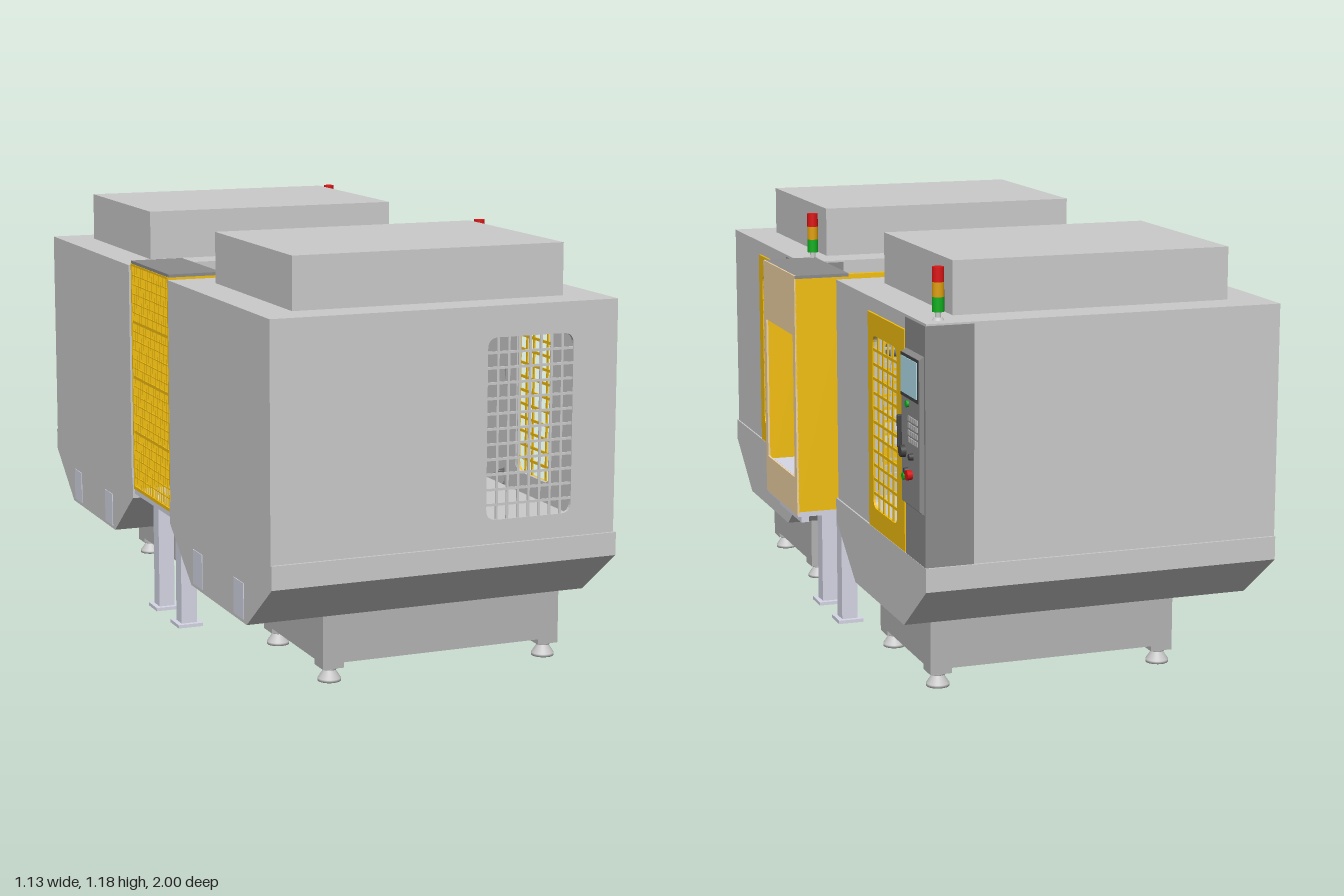
import * as THREE from 'three';
import { RoundedBoxGeometry } from 'three/addons/geometries/RoundedBoxGeometry.js';

const mat = (color) => new THREE.MeshStandardMaterial({ color, side: THREE.DoubleSide });
const grey = mat(0xcccccc), midGrey = mat(0xb4b4b4), darkGrey = mat(0x8c8c8c), black = mat(0x444444);
const yellow = mat(0xf5c010), tan = mat(0xf2d6a6), pale = mat(0xd6d8e6), blue = mat(0x1fa3c4);
const red = mat(0xdd1515), green = mat(0x12b020), amber = mat(0xe0a010), screenBlue = mat(0xb4e2f0);

function add(parent, name, geometry, material, x = 0, y = 0, z = 0) {
  const mesh = new THREE.Mesh(geometry, material);
  mesh.name = name;
  mesh.position.set(x, y, z);
  parent.add(mesh);
  return mesh;
}

// Box given by its lower and upper limits
function box(parent, name, material, x0, x1, y0, y1, z0, z1) {
  return add(parent, name, new THREE.BoxGeometry(x1 - x0, y1 - y0, z1 - z0), material,
    (x0 + x1) / 2, (y0 + y1) / 2, (z0 + z1) / 2);
}

function cylinder(parent, name, material, r0, r1, h, x, y, z, axis = 'y') {
  const mesh = add(parent, name, new THREE.CylinderGeometry(r1, r0, h, 24), material, x, y, z);
  if (axis === 'x') mesh.rotation.z = -Math.PI / 2;
  if (axis === 'z') mesh.rotation.x = Math.PI / 2;
  return mesh;
}

function roundedPath(path, [u0, u1, v0, v1], r) {
  path.moveTo(u0 + r, v0);
  path.lineTo(u1 - r, v0);
  path.quadraticCurveTo(u1, v0, u1, v0 + r);
  path.lineTo(u1, v1 - r);
  path.quadraticCurveTo(u1, v1, u1 - r, v1);
  path.lineTo(u0 + r, v1);
  path.quadraticCurveTo(u0, v1, u0, v1 - r);
  path.lineTo(u0, v0 + r);
  path.quadraticCurveTo(u0, v0, u0 + r, v0);
  return path;
}

// Upright sheet in the XY plane with an optional window hole, limits as [u0, u1, v0, v1]
function sheet(parent, name, material, limits, depth, hole, r = 0.03) {
  const [u0, u1, v0, v1] = limits;
  const shape = new THREE.Shape([[u0, v0], [u1, v0], [u1, v1], [u0, v1]].map((p) => new THREE.Vector2(...p)));
  if (hole) shape.holes.push(roundedPath(new THREE.Path(), hole, r));
  const group = new THREE.Group();
  group.name = name;
  parent.add(group);
  add(group, name + 'Plate', new THREE.ExtrudeGeometry(shape, { depth, bevelEnabled: false, curveSegments: 6 }), material);
  return group;
}

// Crossed bars filling a window
function grid(parent, material, [u0, u1, v0, v1], cols, rows, w, z) {
  for (let i = 1; i < cols; i++) {
    const u = u0 + (u1 - u0) * i / cols;
    box(parent, 'gridUpright', material, u - w / 2, u + w / 2, v0, v1, z - 0.002, z + 0.002);
  }
  for (let i = 1; i < rows; i++) {
    const v = v0 + (v1 - v0) * i / rows;
    box(parent, 'gridCrossbar', material, u0, u1, v - w / 2, v + w / 2, z - 0.002, z + 0.002);
  }
}

function controlPanel(parent) {
  box(parent, 'panelColumn', darkGrey, 0.43, 0.444, 0.395, 1.035, -0.403, -0.243);
  box(parent, 'panelSideCover', darkGrey, 0.31, 0.444, 0.395, 1.035, -0.407, -0.4);
  // Console with sloped ends
  const side = new THREE.Shape([[0.44, 0.53], [0.457, 0.545], [0.457, 0.945], [0.44, 0.957]].map((p) => new THREE.Vector2(...p)));
  add(parent, 'console', new THREE.ExtrudeGeometry(side, { depth: 0.148, bevelEnabled: false }), darkGrey, 0, 0, -0.398);
  box(parent, 'screenFrame', black, 0.455, 0.459, 0.83, 0.945, -0.393, -0.247);
  box(parent, 'screen', screenBlue, 0.457, 0.461, 0.84, 0.937, -0.385, -0.255);
  for (let i = 0; i < 5; i++) for (let j = 0; j < 4; j++) {
    const z = -0.385 + i * 0.016, y = 0.715 + j * 0.019;
    box(parent, 'key', midGrey, 0.456, 0.46, y, y + 0.013, z, z + 0.011);
  }
  cylinder(parent, 'handwheel', black, 0.017, 0.015, 0.014, 0.463, 0.682, -0.272, 'x');
  cylinder(parent, 'powerButton', green, 0.009, 0.009, 0.008, 0.46, 0.815, -0.305, 'x');
  cylinder(parent, 'startButton', green, 0.01, 0.01, 0.008, 0.46, 0.615, -0.275, 'x');
  cylinder(parent, 'stopButton', red, 0.012, 0.014, 0.016, 0.464, 0.63, -0.332, 'x');
  cylinder(parent, 'selector', black, 0.01, 0.008, 0.012, 0.462, 0.635, -0.3, 'x');
  cylinder(parent, 'selector', black, 0.01, 0.008, 0.012, 0.462, 0.68, -0.34, 'x');
}

function machine(name, z, innerOpening) {
  const g = new THREE.Group();
  g.name = name;
  g.position.z = z;

  // Base on four levelling feet
  box(g, 'base', midGrey, -0.345, 0.37, 0.055, 0.19, -0.225, 0.225);
  const foot = new THREE.LatheGeometry([[0, 0], [0.032, 0], [0.032, 0.008], [0.016, 0.032], [0.02, 0.032], [0.02, 0.04], [0, 0.04]]
    .map((p) => new THREE.Vector2(...p)), 24);
  for (const x of [-0.314, 0.339]) for (const s of [-1, 1]) {
    box(g, 'baseCorner', midGrey, x - 0.031, x + 0.031, 0.04, 0.056, s * 0.194 - 0.031, s * 0.194 + 0.031);
    add(g, 'foot', foot, grey, x, 0, s * 0.194);
  }

  // Tapered tray below the cabin
  const tray = new THREE.Shape([[-0.4125, 0.395], [-0.4125, 0.33], [-0.225, 0.19], [0.225, 0.19], [0.4125, 0.33], [0.4125, 0.395]]
    .map((p) => new THREE.Vector2(...p)));
  add(g, 'tray', new THREE.ExtrudeGeometry(tray, { depth: 1.01, bevelEnabled: false }), grey, -0.565).rotation.y = Math.PI / 2;
  for (const s of [-1, 1]) box(g, 'chipOutlet', pale, -0.567, -0.56, 0.2, 0.3, s * 0.167 - 0.038, s * 0.167 + 0.038);

  // Cabin walls and roof
  const side = [-0.565, 0.44, 0.395, 1.04], win = [0.053, 0.307, 0.46, 0.955];
  const outer = sheet(g, 'windowWall', grey, side, 0.01, win);
  outer.position.z = 0.395;
  grid(outer, grey, win, 8, 12, 0.007, 0.006);
  sheet(g, 'plainWall', grey, side, 0.01, innerOpening).position.z = -0.405;
  box(g, 'rearWall', grey, -0.565, -0.555, 0.395, 1.04, -0.4, 0.4);
  box(g, 'ceiling', grey, -0.56, 0.435, 1.03, 1.04, -0.404, 0.404);
  box(g, 'roofHousing', grey, -0.46, 0.33, 1.04, 1.185, -0.295, 0.295);

  // Door side, where sheet x runs along -z
  const doorWin = [-0.042, 0.173, 0.455, 0.94];
  const front = sheet(g, 'doorWall', grey, [-0.405, 0.405, 0.395, 1.04], 0.01, doorWin);
  front.rotation.y = Math.PI / 2;
  front.position.x = 0.43;
  const door = sheet(g, 'door', yellow, [-0.0825, 0.2375, 0.397, 1.0], 0.007, doorWin);
  door.rotation.y = Math.PI / 2;
  door.position.x = 0.439;
  grid(door, yellow, doorWin, 5, 12, 0.008, 0.003);
  add(g, 'doorHandle', new RoundedBoxGeometry(0.014, 0.09, 0.01, 2, 0.004), black, 0.453, 0.725, -0.218);
  controlPanel(g);

  // Coolant hose and nozzle
  const hose = new THREE.CatmullRomCurve3([[0.185, 0.76, 0], [0.2, 0.77, -0.05], [0.23, 0.83, -0.12], [0.28, 0.94, -0.14]]
    .map((p) => new THREE.Vector3(...p)));
  add(g, 'coolantHose', new THREE.TubeGeometry(hose, 20, 0.006, 8), amber);
  cylinder(g, 'nozzle', blue, 0.007, 0.012, 0.06, 0.185, 0.735, 0);

  // Signal tower
  cylinder(g, 'towerFoot', grey, 0.016, 0.012, 0.008, 0.39, 1.044, -0.3525);
  cylinder(g, 'towerPole', grey, 0.008, 0.008, 0.02, 0.39, 1.054, -0.3525);
  [green, amber, red].forEach((m, i) => cylinder(g, 'towerLamp', m, 0.016, 0.016, 0.039, 0.39, 1.082 + i * 0.039, -0.3525));
  return g;
}

// Sliding loading door between a machine and the cell
function loadingDoor(parent, x0, x1, z) {
  const hole = [x0 + 0.06, x1 - 0.06, 0.455, 0.94];
  const d = sheet(parent, 'loadingDoor', yellow, [x0, x1, 0.4, 1.0], 0.014, hole);
  d.position.z = z;
  grid(d, yellow, hole, 5, 12, 0.008, 0.007);
}

function robot() {
  const g = new THREE.Group();
  g.name = 'robot';
  add(g, 'robotBase', new RoundedBoxGeometry(0.16, 0.1, 0.13, 2, 0.012), grey, -0.03, 0.41, 0);
  cylinder(g, 'turntable', grey, 0.062, 0.055, 0.06, -0.02, 0.485, 0);
  add(g, 'waist', new RoundedBoxGeometry(0.11, 0.09, 0.12, 3, 0.02), grey, -0.03, 0.55, 0);
  cylinder(g, 'shoulder', midGrey, 0.045, 0.045, 0.135, -0.02, 0.6, 0, 'z');
  add(g, 'upperArm', new RoundedBoxGeometry(0.07, 0.2, 0.06, 3, 0.02), grey, -0.015, 0.69, 0);
  cylinder(g, 'elbow', midGrey, 0.042, 0.042, 0.09, -0.01, 0.77, 0, 'z');
  add(g, 'elbowMotor', new RoundedBoxGeometry(0.1, 0.07, 0.065, 3, 0.015), grey, -0.03, 0.795, 0);
  cylinder(g, 'forearm', grey, 0.032, 0.024, 0.16, 0.09, 0.79, 0, 'x');
  cylinder(g, 'wrist', midGrey, 0.028, 0.028, 0.055, 0.18, 0.79, 0, 'z');
  cylinder(g, 'toolFlange', darkGrey, 0.02, 0.02, 0.04, 0.21, 0.79, 0, 'x');
  return g;
}

function robotCell() {
  const g = new THREE.Group();
  g.name = 'robotCell';
  box(g, 'cellFloor', pale, -0.56, 0.56, 0.345, 0.36, -0.17, 0.17);
  box(g, 'frontRail', pale, 0.512, 0.536, 0.315, 0.335, -0.12, 0.12);
  for (const x of [-0.492, 0.392]) for (const z of [-0.103, 0.103]) {
    box(g, 'cellLeg', pale, x - 0.024, x + 0.024, 0.01, 0.345, z - 0.024, z + 0.024);
    box(g, 'legPlate', pale, x - 0.038, x + 0.038, 0, 0.01, z - 0.038, z + 0.038);
  }
  // Hoods at both ends
  for (const s of [-1, 1]) {
    const a = Math.min(s * 0.4, s * 0.56), b = Math.max(s * 0.4, s * 0.56);
    for (const t of [-1, 1]) box(g, 'hoodSide', yellow, a, b, 0.36, 1.048, t * 0.168 - 0.004, t * 0.168 + 0.004);
    box(g, 'hoodTop', darkGrey, a, b, 1.046, 1.055, -0.174, 0.174);
  }
  // Operator opening
  const front = sheet(g, 'frontPanel', tan, [-0.172, 0.172, 0.35, 1.055], 0.006, [-0.148, 0.148, 0.46, 0.88], 0.002);
  front.rotation.y = Math.PI / 2;
  front.position.x = 0.556;
  box(g, 'partTable', pale, 0.285, 0.55, 0.445, 0.455, -0.135, 0.135);
  // Wire guard at the rear
  const limits = [-0.165, 0.165, 0.37, 1.04];
  const guard = sheet(g, 'rearGuard', yellow, [-0.172, 0.172, 0.36, 1.046], 0.008, limits, 0.002);
  guard.rotation.y = Math.PI / 2;
  guard.position.x = -0.562;
  grid(guard, yellow, limits, 16, 24, 0.003, 0.004);
  grid(guard, yellow, limits, 1, 4, 0.009, 0.004);
  loadingDoor(g, -0.4, -0.085, -0.18);
  loadingDoor(g, -0.07, 0.33, 0.166);
  g.add(robot());
  return g;
}

export function createModel() {
  const model = new THREE.Group();
  model.name = 'machiningCell';
  model.add(machine('frontMachine', 0.5875, [-0.01, 0.27, 0.455, 0.94]));
  model.add(machine('rearMachine', -0.5875, null));
  model.add(robotCell());
  return model;
}
